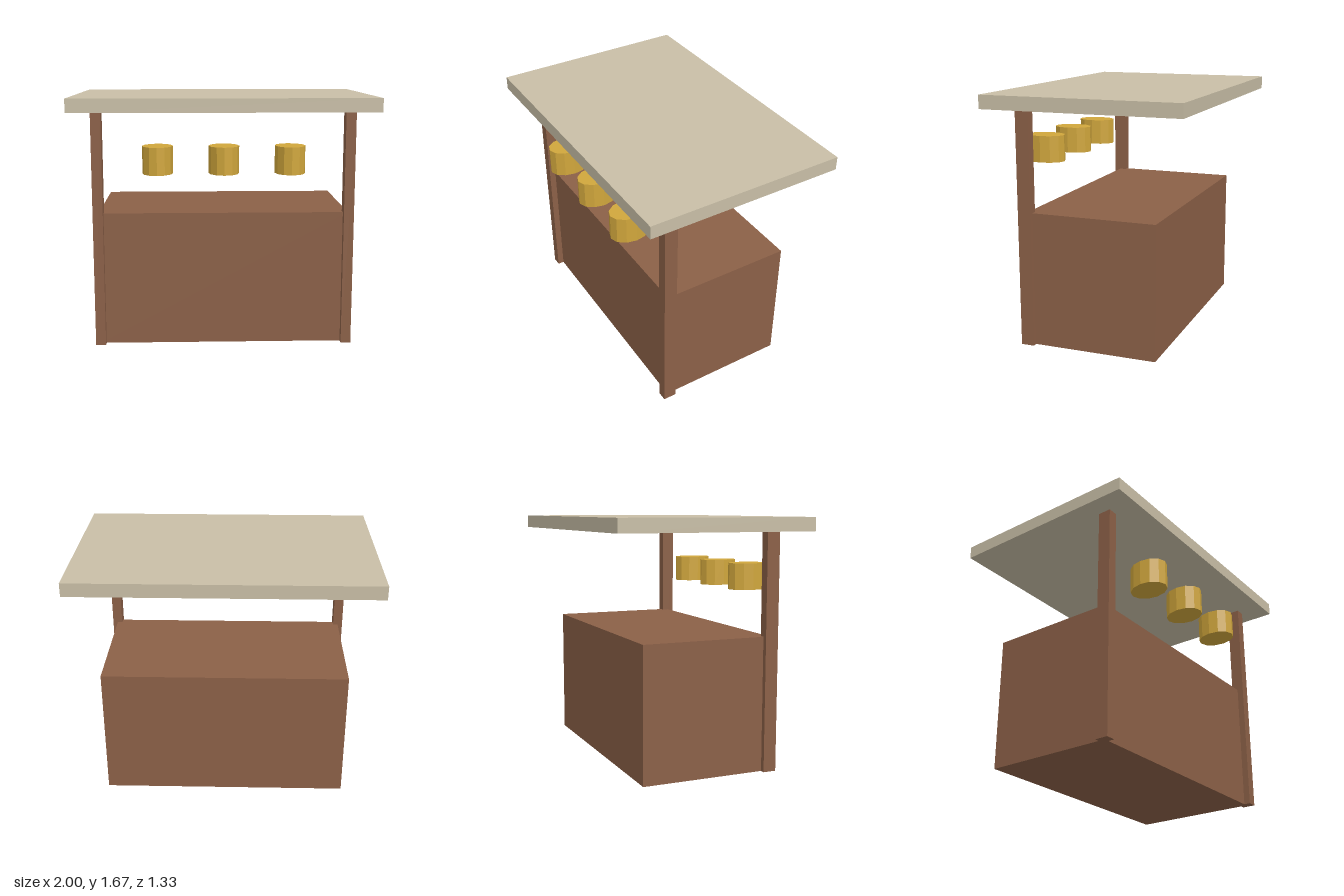
import * as THREE from 'three';

function material(name, color) {
  const m = new THREE.MeshStandardMaterial({ color });
  m.name = name;
  return m;
}

export function createModel() {
  const stall = new THREE.Group();
  stall.name = 'marketStall';

  const wood = material('brownWood', 0x8b6047);
  const canvas = material('paleCanvas', 0xc8bea6);
  const gold = material('lanternGold', 0xd0a63c);
  gold.flatShading = true;

  // Box standing on height y
  function box(name, mat, w, h, d, x, y, z) {
    const mesh = new THREE.Mesh(new THREE.BoxGeometry(w, h, d), mat);
    mesh.name = name;
    mesh.position.set(x, y + h / 2, z);
    stall.add(mesh);
  }

  // Counter block and flat roof
  box('counter', wood, 1.667, 0.9, 0.889, 0, 0, 0);
  box('roof', canvas, 2, 0.09, 1.333, 0, 1.58, 0);

  // Posts centred on the counter's front corners
  for (const side of [-1, 1]) {
    const name = side > 0 ? 'leftPost' : 'rightPost';
    box(name, wood, 0.067, 1.58, 0.089, side * 0.833, 0, 0.444);
  }

  // Three oval twelve-sided lanterns hanging under the front of the roof
  const lanternShape = new THREE.CylinderGeometry(0.1, 0.1, 0.18, 12);
  lanternShape.scale(1, 1, 1.333);
  for (const i of [-1, 0, 1]) {
    const lantern = new THREE.Mesh(lanternShape, gold);
    lantern.name = 'lantern';
    lantern.position.set(i * 0.433, 1.265, 0.49);
    stall.add(lantern);
  }

  return stall;
}
